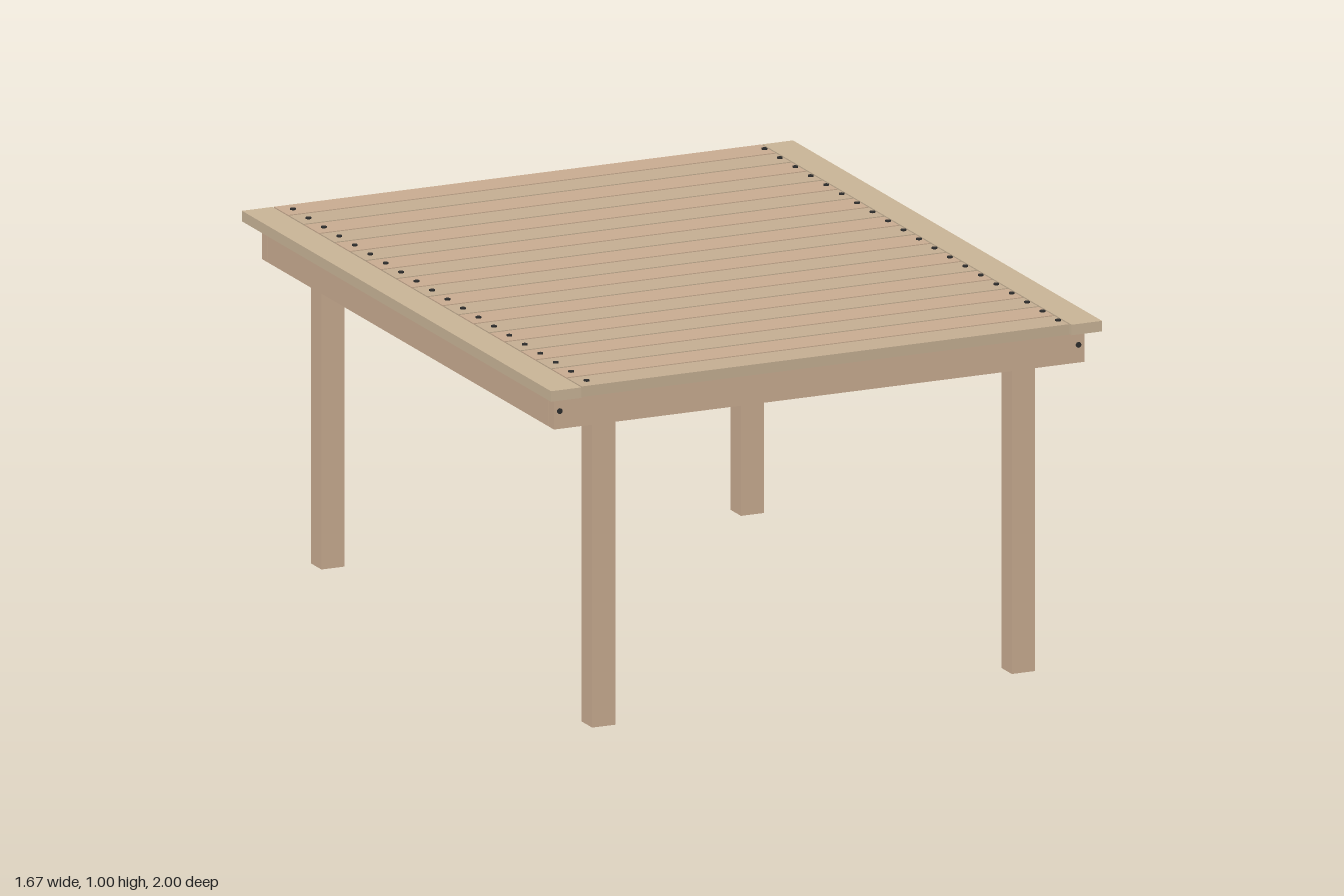
import * as THREE from 'three';

const wood = (color) => new THREE.MeshStandardMaterial({ color });

export function createModel() {
  const table = new THREE.Group();
  table.name = 'slattedTable';

  const rosyWood = wood(0xc8ab90);
  const tanWood = wood(0xc3ad91);
  const paleWood = wood(0xc8b396);
  const steel = wood(0x2c2c2c);

  // Box given by its limits on each axis
  const board = (name, material, [x0, x1], [y0, y1], [z0, z1]) => {
    const mesh = new THREE.Mesh(new THREE.BoxGeometry(x1 - x0, y1 - y0, z1 - z0), material);
    mesh.position.set((x0 + x1) / 2, (y0 + y1) / 2, (z0 + z1) / 2);
    mesh.name = name;
    table.add(mesh);
  };

  // Small screw head, upright or facing along z
  const headGeometry = new THREE.CylinderGeometry(0.008, 0.008, 0.01, 12);
  const screw = (name, x, y, z, alongZ = false) => {
    const mesh = new THREE.Mesh(headGeometry, steel);
    mesh.position.set(x, y, z);
    if (alongZ) mesh.rotation.x = Math.PI / 2;
    mesh.name = name;
    table.add(mesh);
  };

  const deckBottom = 0.97, deckTop = 1.0, apronBottom = 0.875;

  // Cross slats with a screw near each end
  for (let i = 0; i < 20; i++) {
    const z = -1 + i * 0.1;
    board('slat', i % 2 ? tanWood : rosyWood, [-0.737, 0.737], [deckBottom, deckTop], [z, z + 0.092]);
    for (const x of [-0.702, 0.725]) screw('slatScrew', x, deckTop - 0.001, z + 0.048);
  }

  // Long edge boards and the side aprons beneath them
  for (const s of [-1, 1]) {
    const span = (a, b) => (s > 0 ? [a, b] : [-b, -a]);
    board('edgeBoard', paleWood, span(0.742, 0.834), [deckBottom, deckTop], [-1, 1]);
    board('sideApron', rosyWood, span(0.769, 0.803), [apronBottom, deckBottom], [-0.902, 0.919]);
  }

  // End aprons with screws into the side aprons
  const aprons = [['frontApron', 0.921, 0.953, 0.951], ['backApron', -0.937, -0.904, -0.935]];
  for (const [name, z0, z1, screwZ] of aprons) {
    board(name, rosyWood, [-0.803, 0.803], [apronBottom, deckBottom], [z0, z1]);
    for (const x of [-0.786, 0.784]) screw('apronScrew', x, 0.926, screwZ, true);
  }

  // Square legs
  for (const x of [[-0.67, -0.6], [0.6, 0.67]]) {
    board('frontLeg', rosyWood, x, [0, deckBottom], [0.848, 0.916]);
    board('backLeg', rosyWood, x, [0, deckBottom], [-0.904, -0.836]);
  }

  return table;
}
